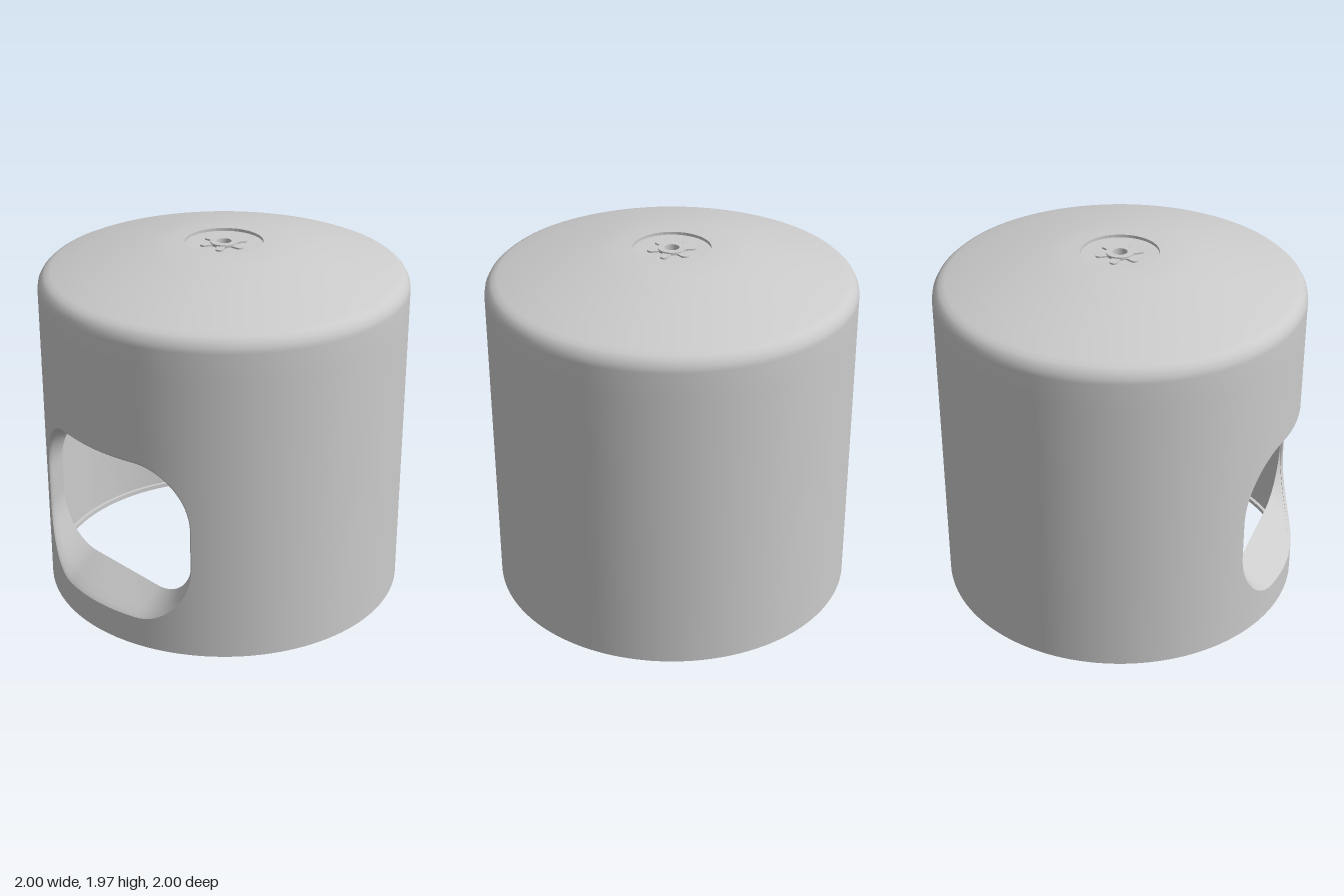
import * as THREE from 'three';

const R = 1, RI = 0.98, LIP = 0.96; // outer wall, inner wall and bottom lip radius
const PATCH = 0.8, PATCH_TOP = 1.4; // half angle and height of the front wall panel
const FLANGE_Z = 0.79;              // where the window tunnel ends inside
const ARC = 16, FLAT = 8;

const grey = new THREE.MeshStandardMaterial({ color: 0xcccccc });
const greyDouble = new THREE.MeshStandardMaterial({ color: 0xcccccc, side: THREE.DoubleSide });
const lerp = THREE.MathUtils.lerp;

function add(group, name, geometry, material = grey) {
  const mesh = new THREE.Mesh(geometry, material);
  mesh.name = name;
  group.add(mesh);
  return mesh;
}

function lathe(points, start = 0, length = Math.PI * 2) {
  return new THREE.LatheGeometry(points.map(p => new THREE.Vector2(...p)), 96, start, length);
}

// Rounded window outline, counter-clockwise seen from the front
function windowLoop(x0, x1, y0, y1, rx, ry) {
  const centres = [[x1 - rx, y0 + ry], [x1 - rx, y1 - ry], [x0 + rx, y1 - ry], [x0 + rx, y0 + ry]];
  const points = [];
  centres.forEach(([cx, cy], q) => {
    for (let k = 0; k <= ARC; k++) {
      const a = (q - 1 + k / ARC) * Math.PI / 2;
      points.push([cx + rx * Math.cos(a), cy + ry * Math.sin(a)]);
    }
    const a = points[points.length - 1];
    const [nx, ny] = centres[(q + 1) % 4];
    const end = (q * Math.PI) / 2;
    const b = [nx + rx * Math.cos(end), ny + ry * Math.sin(end)];
    for (let k = 1; k < FLAT; k++) points.push([lerp(a[0], b[0], k / FLAT), lerp(a[1], b[1], k / FLAT)]);
  });
  return points;
}

// Matching points on the panel's rectangular border, as [angle, y]
function borderLoop(loop) {
  const step = ARC + FLAT;
  const corners = [[PATCH, 0], [PATCH, PATCH_TOP], [-PATCH, PATCH_TOP], [-PATCH, 0]];
  const onSide = (side, [angle, y]) =>
    [[angle, 0], [PATCH, y], [angle, PATCH_TOP], [-PATCH, y]][side];
  return loop.map((p, i) => {
    const q = Math.floor(i / step), k = i % step;
    if (k > ARC) return onSide((q + 1) % 4, p);
    const t = k / ARC * 2, c = corners[q];
    const from = onSide(q, loop[q * step]), to = onSide((q + 1) % 4, loop[q * step + ARC]);
    return t < 1 ? [lerp(from[0], c[0], t), lerp(from[1], c[1], t)]
                 : [lerp(c[0], to[0], t - 1), lerp(c[1], to[1], t - 1)];
  });
}

// Skin over rows of closed loops
function skin(rows, flip) {
  const n = rows[0].length, index = [];
  for (let r = 0; r < rows.length - 1; r++) {
    for (let c = 0; c < n; c++) {
      const d = (c + 1) % n;
      const a = r * n + c, u = a + n, v = r * n + d, w = v + n;
      index.push(...(flip ? [a, v, u, u, v, w] : [a, u, v, u, w, v]));
    }
  }
  const g = new THREE.BufferGeometry();
  g.setAttribute('position', new THREE.Float32BufferAttribute(rows.flat(2), 3));
  g.setIndex(index);
  g.computeVertexNormals();
  return g;
}

// Curved wall panel around the window
function panel(loop, radius, inside) {
  const hole = loop.map(([x, y]) => [Math.asin(x / radius), y]);
  const border = borderLoop(hole);
  const rows = [];
  for (let r = 0; r <= 8; r++) {
    rows.push(hole.map((h, i) => {
      const a = lerp(h[0], border[i][0], r / 8);
      return [radius * Math.sin(a), lerp(h[1], border[i][1], r / 8), radius * Math.cos(a)];
    }));
  }
  const g = skin(rows, inside);
  const p = g.attributes.position, s = (inside ? -1 : 1) / radius;
  for (let i = 0; i < p.count; i++) g.attributes.normal.setXYZ(i, p.getX(i) * s, 0, p.getZ(i) * s);
  return g;
}

export function createModel() {
  const model = new THREE.Group();
  model.name = 'cover';

  // Window outlines: on the outer wall, behind its softened edge, at the tunnel end
  const outer = windowLoop(-0.478, 0.588, 0.17, 1.105, 0.285, 0.36);
  const throat = windowLoop(-0.472, 0.579, 0.187, 1.09, 0.28, 0.345);
  const end = windowLoop(-0.47, 0.575, 0.30, 1.06, 0.272, 0.28);
  const EDGE = 0.08;
  const at = (i, s) => {
    const [a, b, t] = s < EDGE ? [outer, throat, s / EDGE] : [throat, end, (s - EDGE) / (1 - EDGE)];
    return [lerp(a[i][0], b[i][0], t), lerp(a[i][1], b[i][1], t)];
  };
  const depth = x => Math.sqrt(R * R - x * x);
  const inner = outer.map(([x], i) => {
    const z0 = depth(x), z1 = Math.sqrt(RI * RI - x * x);
    return at(i, Math.min(1, (z0 - z1) / (z0 - FLANGE_Z)));
  });

  // Walls
  const rest = Math.PI * 2 - 2 * PATCH;
  add(model, 'outerWallFront', panel(outer, R, false));
  add(model, 'innerWallFront', panel(inner, RI, true));
  add(model, 'outerWall', lathe([[R, 0], [R, PATCH_TOP]], PATCH, rest));
  add(model, 'innerWall', lathe([[RI, PATCH_TOP], [RI, 0]], PATCH, rest));

  // Small inward lip along the bottom
  add(model, 'bottomRim', lathe([[LIP, 0], [R, 0]]));
  add(model, 'lipFace', lathe([[LIP, 0.025], [LIP, 0]]));
  add(model, 'lipTop', lathe([[RI, 0.025], [LIP, 0.025]]));

  // Tapered tunnel through the window
  const tunnel = [0, EDGE, 0.3, 0.65, 1].map(s => outer.map(([x], i) =>
    [...at(i, s), lerp(depth(x), FLANGE_Z, s)]));
  add(model, 'windowTunnel', skin(tunnel, true), greyDouble);

  // Domed lid with rounded shoulder, overlapping the walls slightly
  const joint = PATCH_TOP - 0.01;
  const shoulder = [[R, joint], [R, 1.6], [R, 1.74], [0.995, 1.77], [0.98, 1.797], [0.96, 1.815], [0.93, 1.828]];
  const dome = [[0.8, 1.865], [0.6, 1.915], [0.4, 1.953], [0.3, 1.964], [0.21, 1.968]];
  add(model, 'dome', lathe([...shoulder, ...dome]));
  add(model, 'domeInside', lathe([[0.04, 1.93], [0.25, 1.93], [0.4, 1.925], [0.6, 1.888], [0.8, 1.84],
    [0.93, 1.803], [0.965, 1.78], [RI, 1.74], [RI, joint]]));

  // Shallow recess with a central through hole
  add(model, 'recessWall', lathe([[0.21, 1.968], [0.21, 1.952]]));
  add(model, 'recessFloor', lathe([[0.21, 1.952], [0.04, 1.952]]));
  add(model, 'centreHole', lathe([[0.04, 1.968], [0.04, 1.93]]));

  // Hub ring and six lower round-ended spokes
  add(model, 'hubSide', lathe([[0.075, 1.952], [0.075, 1.968]]));
  add(model, 'hubTop', lathe([[0.075, 1.968], [0.04, 1.968]]));
  const spoke = new THREE.Shape();
  spoke.moveTo(0.065, -0.022);
  spoke.lineTo(0.11, -0.022);
  spoke.absarc(0.11, 0, 0.022, -Math.PI / 2, Math.PI / 2);
  spoke.lineTo(0.065, 0.022);
  const spokeGeometry = new THREE.ExtrudeGeometry(spoke, { depth: 0.009, bevelEnabled: false });
  spokeGeometry.rotateX(-Math.PI / 2);
  for (let i = 0; i < 6; i++) {
    const mesh = add(model, 'spoke', spokeGeometry);
    mesh.position.y = 1.952;
    mesh.rotation.y = i * Math.PI / 3 + 0.06;
  }
  return model;
}
